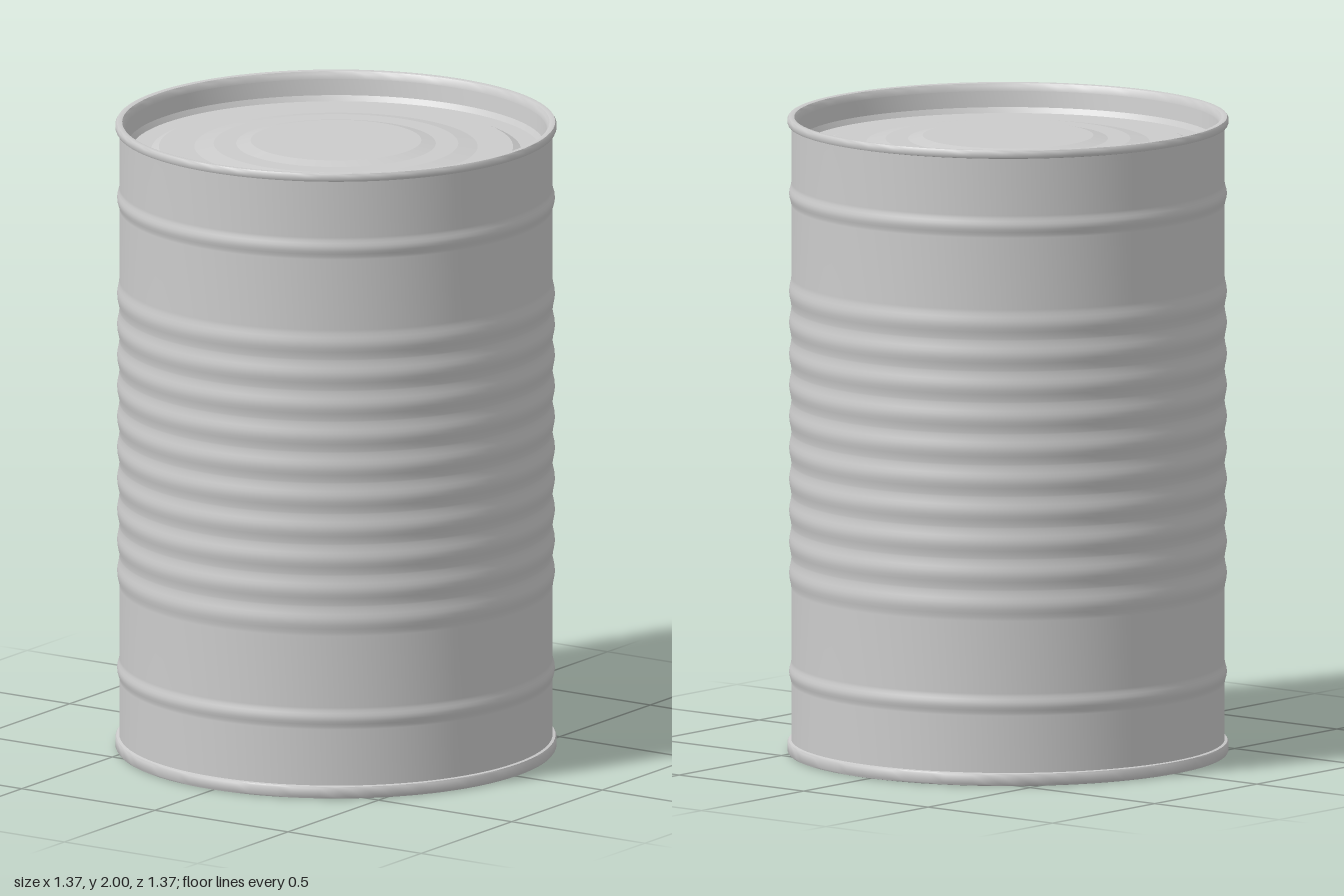
import * as THREE from 'three';
import { toCreasedNormals } from 'three/addons/utils/BufferGeometryUtils.js';

const SEGMENTS = 96;
const WALL = 0.673;
const BEAD = 0.007;

export function createModel() {
  const can = new THREE.Group();
  can.name = 'can';
  const metal = new THREE.MeshStandardMaterial({ color: 0xcccccc, side: THREE.DoubleSide });

  // Revolve a profile of [radius, height] pairs around the y axis
  function addLathe(name, profile, crease) {
    const points = profile.map(([r, y]) => new THREE.Vector2(r, y));
    let geometry = new THREE.LatheGeometry(points, SEGMENTS);
    if (crease) geometry = toCreasedNormals(geometry, crease);
    const mesh = new THREE.Mesh(geometry, metal);
    mesh.name = name;
    can.add(mesh);
  }

  // Wall with one narrow bead near each end and ten wide beads in the middle
  const beads = [[0.255, 0.035]];
  for (let i = 0; i < 10; i++) beads.push([0.565 + i * 0.0984, 0.047]);
  beads.push([1.758, 0.035]);
  const wall = [[WALL, 0.03]];
  for (const [y, half] of beads) {
    for (let k = -4; k <= 4; k++) {
      const t = k / 4;
      wall.push([WALL + BEAD * 0.5 * (1 + Math.cos(Math.PI * t)), y + half * t]);
    }
  }
  wall.push([WALL, 1.98]);
  addLathe('wall', wall);

  // Rolled seams at both ends
  addLathe('topRim', [
    [WALL, 1.972], [0.682, 1.974], [0.685, 1.98], [0.685, 1.993], [0.681, 1.999],
    [0.673, 2], [0.664, 1.998], [0.658, 1.99], [0.655, 1.975],
  ], 0.7);
  addLathe('bottomRim', [
    [0.652, 0.025], [0.656, 0.008], [0.663, 0.001], [0.674, 0], [0.682, 0.002],
    [0.685, 0.007], [0.685, 0.034], [0.682, 0.039], [WALL, 0.041],
  ], 0.7);

  // Sunken lid stepping up towards its centre
  addLathe('lid', [
    [0.655, 1.975], [0.648, 1.925], [0.638, 1.908], [0.575, 1.908], [0.55, 1.92],
    [0.44, 1.92], [0.38, 1.93], [0.31, 1.93], [0.265, 1.94], [0, 1.94],
  ], 0.15);

  // Sunken base with one step
  addLathe('base', [
    [0, 0.028], [0.555, 0.028], [0.575, 0.038], [0.635, 0.038], [0.652, 0.025],
  ], 0.15);

  return can;
}
